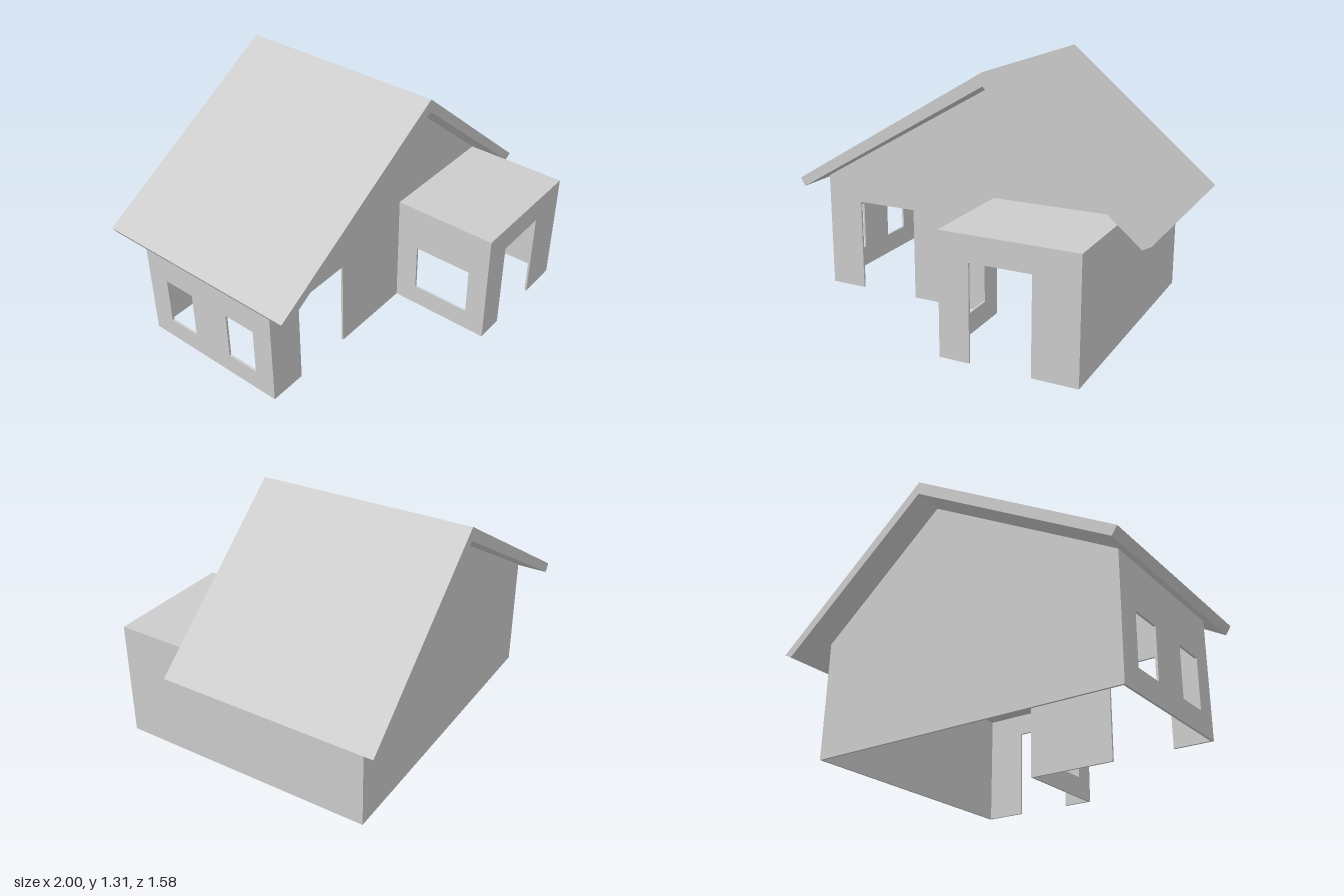
import * as THREE from 'three';

const T = 0.012; // wall thickness
const LEFT = 0.825, RIGHT = -0.92; // house sides in x
const BACK = -0.64, FRONT = 0.22, PORCH = 0.79; // wall planes in z
const PORCH_X = 0.11; // inner side of the porch
const WALL_H = 0.64, RIDGE_X = 0.127, GABLE_H = 1.232;
const DOOR_H = 0.505, SILL = 0.117, LINTEL = 0.388;

const material = new THREE.MeshStandardMaterial({ color: 0xcccccc, flatShading: true });

function polygon(points) {
  return new THREE.Shape(points.map(([x, y]) => new THREE.Vector2(x, y)));
}

function extruded(name, shape, depth) {
  const geometry = new THREE.ExtrudeGeometry(shape, { depth, bevelEnabled: false });
  const mesh = new THREE.Mesh(geometry, material);
  mesh.name = name;
  return mesh;
}

// Wall facing the front or back, starting at z
function crossWall(name, points, z) {
  const wall = extruded(name, polygon(points), T);
  wall.position.z = z;
  return wall;
}

// Wall along z from z0 to z1, with its lower x face at x and windows as [z0, z1] pairs
function sideWall(name, x, z0, z1, windows = []) {
  const shape = polygon([[-z1, 0], [-z0, 0], [-z0, WALL_H], [-z1, WALL_H]]);
  for (const [a, b] of windows) {
    shape.holes.push(polygon([[-b, SILL], [-b, LINTEL], [-a, LINTEL], [-a, SILL]]));
  }
  const wall = extruded(name, shape, T);
  wall.rotation.y = Math.PI / 2;
  wall.position.x = x;
  return wall;
}

// Doorway notch, listed left to right along the bottom edge
const doorway = (a, b) => [[a, 0], [a, DOOR_H], [b, DOOR_H], [b, 0]];

export function createModel() {
  const house = new THREE.Group();
  house.name = 'house';

  // Gable walls: the front one opens fully into the porch room
  const gableTop = [[LEFT, WALL_H], [RIDGE_X, GABLE_H], [RIGHT, WALL_H - 0.005]];
  house.add(crossWall('backGableWall', [[RIGHT, 0], [LEFT, 0], ...gableTop], BACK));
  house.add(crossWall('frontGableWall', [
    [RIGHT, 0], ...doorway(-0.715, -0.375),
    [PORCH_X + T, 0], [PORCH_X + T, WALL_H - T], [LEFT, WALL_H - T],
    ...gableTop,
  ], FRONT - T));

  // Long plain wall, and the shorter wall with two windows
  house.add(sideWall('plainSideWall', LEFT - T, BACK + T, PORCH - T));
  house.add(sideWall('windowSideWall', RIGHT, BACK + T, FRONT - T, [[-0.51, -0.325], [-0.085, 0.1]]));

  // Porch room
  house.add(sideWall('porchWindowWall', PORCH_X, FRONT, PORCH - T, [[0.345, 0.675]]));
  house.add(crossWall('porchFrontWall', [
    [PORCH_X, 0], ...doorway(0.27, 0.59), [LEFT, 0], [LEFT, WALL_H], [PORCH_X, WALL_H],
  ], PORCH - T));
  const porchRoof = new THREE.Mesh(
    new THREE.BoxGeometry(LEFT - PORCH_X - 2 * T, T, PORCH - FRONT - T), material);
  porchRoof.name = 'porchRoof';
  porchRoof.position.set((LEFT + PORCH_X) / 2, WALL_H - T / 2, (PORCH - T + FRONT) / 2);
  house.add(porchRoof);

  // Uneven pitched roof with square-cut eaves
  const roof = extruded('roof', polygon([
    [-1, 0.648], [-0.972, 0.604], [RIDGE_X, 1.24], [0.957, 0.543], [1, 0.567], [RIDGE_X, 1.31],
  ]), 1.165);
  roof.position.z = -0.79;
  house.add(roof);

  return house;
}
